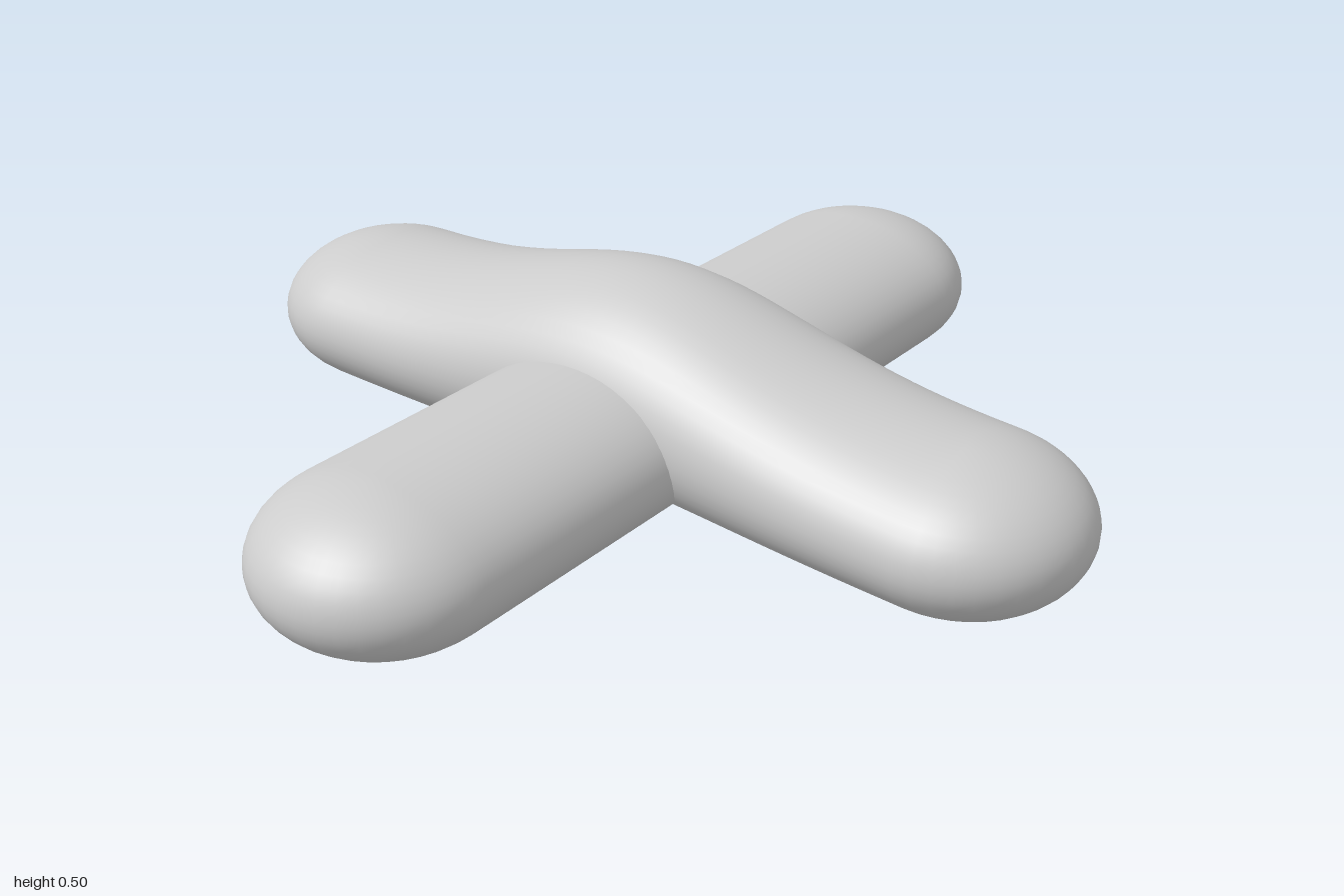
import * as THREE from 'three';
import { mergeVertices } from 'three/addons/utils/BufferGeometryUtils.js';

const material = new THREE.MeshStandardMaterial({ color: 0xcccccc });

// Stadium outline as { s: spine position, dx, dz: outward direction }
function stadium(half, capSegments, sideSegments) {
  const points = [];
  for (const side of [1, -1]) {
    for (let i = 0; i <= capSegments; i++) {
      const a = (i / capSegments - 0.5) * Math.PI;
      points.push({ s: side * half, dx: side * Math.cos(a), dz: side * Math.sin(a) });
    }
    for (let i = 1; i < sideSegments; i++) {
      points.push({ s: side * half * (1 - 2 * i / sideSegments), dx: 0, dz: side });
    }
  }
  return points;
}

// Closed rings joined row by row; shared points are welded for smooth normals
function loft(outline, rows, place) {
  const n = outline.length, positions = [], index = [];
  for (let j = 0; j <= rows; j++) {
    for (const p of outline) positions.push(...place(p, j / rows));
  }
  for (let j = 0; j < rows; j++) {
    for (let i = 0; i < n; i++) {
      const a = j * n + i, b = j * n + (i + 1) % n;
      index.push(a, a + n, b, b, a + n, b + n);
    }
  }
  let geometry = new THREE.BufferGeometry();
  geometry.setAttribute('position', new THREE.Float32BufferAttribute(positions, 3));
  geometry.setIndex(index);
  geometry = mergeVertices(geometry, 1e-5);
  geometry.computeVertexNormals();
  return geometry;
}

// Rounded bar cut flat at the ground, with an optional hump at mid-length
function makeBar(name, half, radius, hump) {
  const outline = stadium(half, 20, 40);
  // Elliptical section: centre height, vertical radius and angle of the ground cut
  const section = (s) => {
    const rise = hump * Math.exp(-((s / 0.52) ** 2)) / 2;
    const cy = 0.13 + rise, ry = 0.2 + rise;
    return { cy, ry, cut: -Math.asin(cy / ry) };
  };

  const body = loft(outline, 18, ({ s, dx, dz }, t) => {
    const x0 = s + dx * radius * 0.5;
    const { cy, ry, cut } = section(Math.abs(dx) > 1e-6 ? s : x0);
    const a = cut + (Math.PI / 2 - cut) * t;
    const r = radius * Math.cos(a);
    return [s + dx * r, cy + ry * Math.sin(a), dz * r];
  });
  const base = loft(outline, 1, ({ s, dx, dz }, t) => {
    const r = radius * Math.cos(section(s).cut) * t;
    return [s + dx * r, 0, dz * r];
  });

  const group = new THREE.Group();
  group.name = name;
  for (const [part, geometry] of [['roundedBody', body], ['flatBase', base]]) {
    const mesh = new THREE.Mesh(geometry, material);
    mesh.name = part;
    group.add(mesh);
  }
  return group;
}

export function createModel() {
  const model = new THREE.Group();
  model.name = 'crossedBars';

  // Straight bar lying underneath
  const lower = makeBar('lowerBar', 0.68 * Math.SQRT2, 0.32, 0);
  lower.rotation.y = Math.PI / 4;

  // Bar that arches over the crossing
  const upper = makeBar('upperBar', 0.668 * Math.SQRT2, 0.32, 0.17);
  upper.rotation.y = -Math.PI / 4;

  model.add(lower, upper);
  return model;
}
